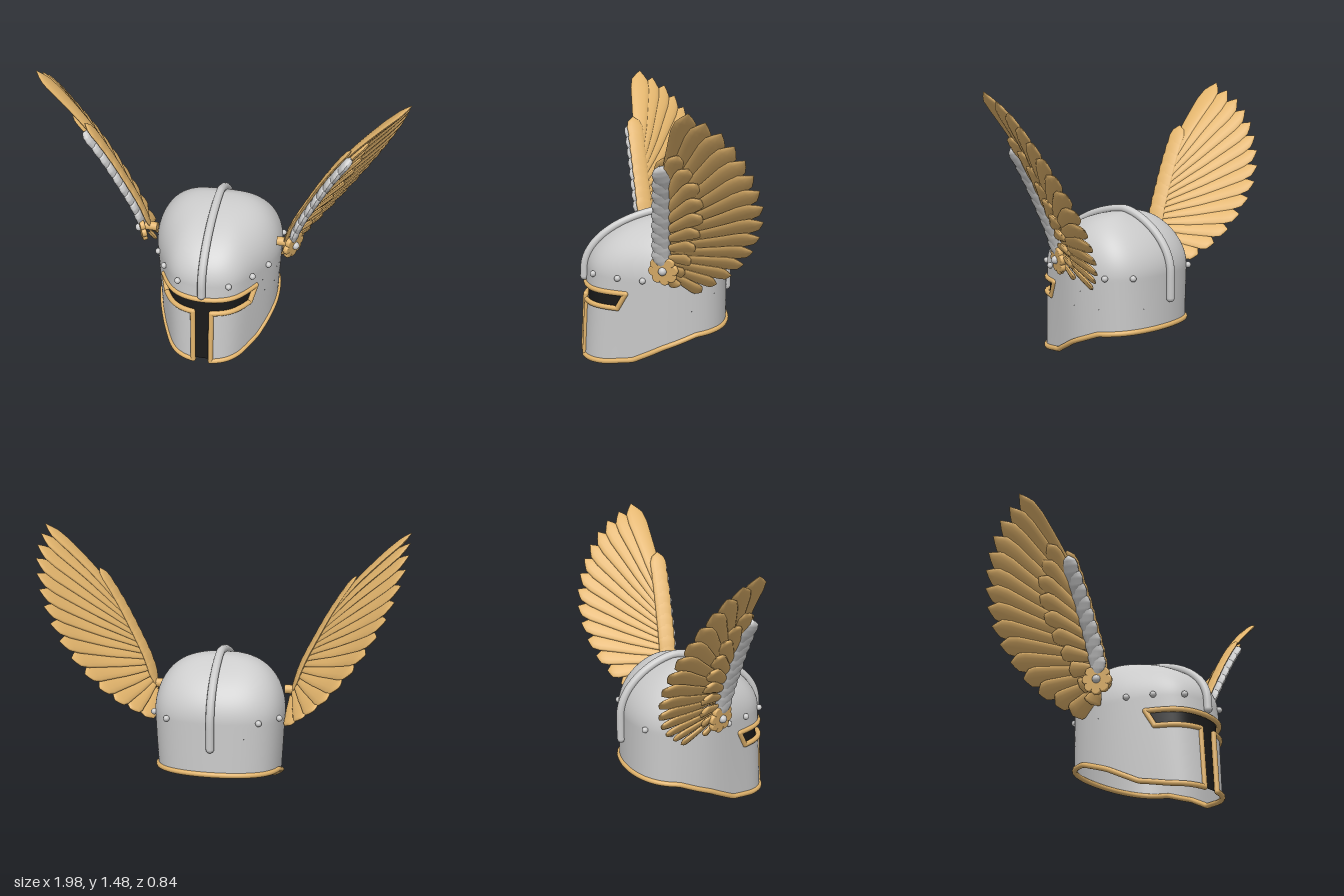
import * as THREE from 'three';

const steel = new THREE.MeshStandardMaterial({ color: 0xcccccc, side: THREE.DoubleSide });
const gold = new THREE.MeshStandardMaterial({ color: 0xe2b46c });
const black = new THREE.MeshStandardMaterial({ color: 0x1a1a1a, side: THREE.DoubleSide });
const V = (x, y, z) => new THREE.Vector3(x, y, z);
const lerp = THREE.MathUtils.lerp;

// Piecewise-linear lookup in [[x, y], ...] with rising x
function table(rows, x) {
  if (x <= rows[0][0]) return rows[0][1];
  for (let i = 1; i < rows.length; i++) {
    const [x0, y0] = rows[i - 1], [x1, y1] = rows[i];
    if (x <= x1) return lerp(y0, y1, (x - x0) / (x1 - x0));
  }
  return rows[rows.length - 1][1];
}

// Grid surface from fn(u, v); normals from normalFn(u, v) if given
function grid(fn, nu, nv, normalFn) {
  const pos = [], nor = [], idx = [];
  for (let j = 0; j <= nv; j++) for (let i = 0; i <= nu; i++) {
    pos.push(...fn(i / nu, j / nv).toArray());
    if (normalFn) nor.push(...normalFn(i / nu, j / nv).toArray());
    if (i < nu && j < nv) {
      const a = j * (nu + 1) + i, c = a + nu + 1;
      idx.push(a, a + 1, c, a + 1, c + 1, c);
    }
  }
  const g = new THREE.BufferGeometry();
  g.setAttribute('position', new THREE.Float32BufferAttribute(pos, 3));
  g.setIndex(idx);
  if (normalFn) g.setAttribute('normal', new THREE.Float32BufferAttribute(nor, 3));
  else g.computeVertexNormals();
  return g;
}

function add(parent, name, geometry, material, position) {
  const m = new THREE.Mesh(geometry, material);
  m.name = name;
  if (position) m.position.copy(position);
  parent.add(m);
  return m;
}

// Helmet skin: a = angle from the front, h = height up to 0.5, then dome angle up to 1
const ZC = -0.08;
function skin(a, h, grow = 0) {
  const phi = Math.max(0, h - 0.5) * Math.PI;
  const c = Math.cos(a), s = Math.sin(a), c2 = c * c;
  // the dome slopes more towards brow and nape than at the sides
  const k = Math.pow(Math.max(0, Math.cos(phi)), lerp(0.7, c > 0 ? 1.2 : 1.35, c2));
  const low = Math.min(h, 0.5);
  const y = low + (0.31 + grow) * Math.sin(phi);
  const w = 0.328 + 0.054 * low + grow;
  const depth = c > 0 ? 0.492 - 0.05 * low : 0.305;
  const fullness = c > 0 ? 1 - 0.45 * c2 + 0.6 * c2 * c2 : 1 + 0.28 * c2;
  return V(w * k * s * fullness, y, ZC + (depth + grow) * k * c);
}
function skinNormal(a, h) {
  h = Math.min(h, 0.99);
  const e = 0.004;
  const da = skin(a + e, h).sub(skin(a - e, h));
  return da.cross(skin(a, h + e).sub(skin(a, h - e))).normalize();
}
const rim = (a) => table([[-0.39, 0.222], [-0.17, 0.2], [0, 0.135], [0.16, 0.05], [0.3, 0.023], [0.42, 0.015]], skin(a, 0.15).z);

// Visor opening: nasal slot angle, eye slot corners
const NASAL = 0.13, EYE_LOW = 0.335, EYE_TOP = 0.42, A_LOW = 0.83, A_TOP = 0.94;

function patch(group, name, material, angle, height, nu, nv, grow = 0) {
  const at = (u, v) => { const a = angle(u, v); return [a, height(a, v)]; };
  add(group, name, grid((u, v) => skin(...at(u, v), grow), nu, nv, (u, v) => skinNormal(...at(u, v))), material);
}

function buildShell(group) {
  patch(group, 'dome', steel, (u) => lerp(-Math.PI, Math.PI, u), (a, v) => lerp(EYE_TOP, 1, v), 96, 36);
  for (const s of [1, -1]) {
    const span = (a0) => (u) => s * lerp(a0, Math.PI, s > 0 ? u : 1 - u);
    patch(group, 'temple', steel, (u, v) => span(lerp(A_LOW, A_TOP, v))(u), (a, v) => lerp(EYE_LOW, EYE_TOP, v), 40, 4);
    patch(group, 'cheekPlate', steel, span(NASAL), (a, v) => lerp(rim(a), EYE_LOW, v), 56, 14);
  }
  // dark lining behind the opening
  patch(group, 'eyeLining', black, (u) => lerp(-1.0, 1.0, u), (a, v) => lerp(0.31, 0.44, v), 40, 4, -0.016);
  patch(group, 'nasalLining', black, (u) => lerp(-0.2, 0.2, u), (a, v) => lerp(0.02, 0.33, v), 14, 8, -0.016);
}

// Tube over sampled points of fn(t)
function tube(group, name, fn, n, r, material) {
  const pts = Array.from({ length: n + 1 }, (_, i) => fn(i / n));
  add(group, name, new THREE.TubeGeometry(new THREE.CatmullRomCurve3(pts), n * 2, r, 10), material);
  for (const p of [pts[0], pts[n]]) add(group, name + 'End', new THREE.SphereGeometry(r, 10, 8), material, p);
}

function buildTrim(group) {
  const r = 0.0145;
  tube(group, 'rimTrim', (t) => {
    const a = lerp(NASAL, 2 * Math.PI - NASAL, t);
    return skin(a, rim(a));
  }, 72, r, gold);
  tube(group, 'browTrim', (t) => skin(lerp(-A_TOP, A_TOP, t), EYE_TOP), 28, r, gold);
  for (const s of [1, -1]) {
    tube(group, 'nasalTrim', (t) => skin(s * NASAL, lerp(rim(NASAL), EYE_LOW, t)), 6, r, gold);
    tube(group, 'eyeLowerTrim', (t) => skin(s * lerp(NASAL, A_LOW, t), EYE_LOW), 12, r, gold);
    tube(group, 'eyeEndTrim', (t) => skin(s * lerp(A_LOW, A_TOP, t), lerp(EYE_LOW, EYE_TOP, t)), 3, r, gold);
  }
}

// Crest runs over the dome from brow to nape
function buildCrest(group) {
  tube(group, 'crest', (t) => {
    const front = t < 0.5;
    const h = front ? lerp(0.455, 1, t * 2) : lerp(1, 0.37, t * 2 - 1);
    return skin(front ? 0 : Math.PI, h, 0.012);
  }, 40, 0.023, steel);
}

function buildRivets(group) {
  for (const s of [1, -1]) for (const z of [0.355, 0.235, 0.11, -0.22, -0.33]) {
    const a = Math.acos((z - ZC) / (z > ZC ? 0.467 : 0.305));
    add(group, 'rivet', new THREE.SphereGeometry(0.017, 14, 10), steel, skin(s * a, 0.505, 0.008));
  }
}

// Wing surface: x follows from (z, y), hollowed along the leading edge
const HOLLOW = new THREE.SplineCurve([[0.45, 0], [0.6, 0.025], [0.75, 0.065], [0.9, 0.085], [1.05, 0.097],
  [1.2, 0.092], [1.35, 0.055], [1.5, 0]].map(([y, d]) => new THREE.Vector2(y, d)));
function wingX(z, y) {
  const t = THREE.MathUtils.clamp((y - 0.45) / 1.05, 0, 1);
  const near = Math.exp(-(((z - 0.05) / 0.21) ** 2));
  return 0.405 + 0.65 * (y - 0.6) - 0.41 * (z - 0.02) - HOLLOW.getPoint(t).y * near;
}
function wingNormal(s, z, y) {
  const e = 0.03;
  return V(s, (wingX(z, y - e) - wingX(z, y + e)) / (2 * e), (wingX(z - e, y) - wingX(z + e, y)) / (2 * e)).normalize();
}
// Point on the wing: s = side, lift = distance outwards
const onWing = (s, z, y, lift) => V(s * wingX(z, y), y, z).addScaledVector(wingNormal(s, z, y), lift);

const PLUME = [[0, 0.3], [0.4, 0.75], [0.8, 1], [0.9, 0.88], [0.95, 0.5], [1, 0.02]];
const SCALE = [[0, 0.5], [0.35, 0.95], [0.65, 1], [0.85, 0.75], [1, 0.03]];

// One feather along the wing surface from root [z, y] to tip [z, y]:
// lens-shaped sections, tilted to overlap its neighbour
function feather(group, name, s, [z0, y0], [z1, y1], lift, halfWidth, thick, profile, material, tilt) {
  const dir = onWing(s, z1, y1, lift).sub(onWing(s, z0, y0, lift)).normalize();
  const n = wingNormal(s, (z0 + z1) / 2, (y0 + y1) / 2);
  n.addScaledVector(dir, -n.dot(dir)).normalize().applyAxisAngle(dir, tilt * s);
  const side = n.clone().cross(dir);
  add(group, name, grid((u, v) => {
    const a = u * Math.PI * 2, w = table(profile, v);
    return onWing(s, lerp(z0, z1, v), lerp(y0, y1, v), lift)
      .addScaledVector(side, halfWidth * w * Math.cos(a))
      .addScaledVector(n, thick * Math.sqrt(w) * Math.sin(a));
  }, 12, 20), material);
}

function buildWing(s) {
  const wing = new THREE.Group();
  wing.name = s > 0 ? 'leftWing' : 'rightWing';
  const row = (name, tips, count, rootTop, lift, halfWidth) => {
    const c = new THREE.CatmullRomCurve3(tips.map(([z, y]) => V(0, y, z)));
    for (let i = 0; i < count; i++) {
      const t = i / (count - 1), p = c.getPointAt(t);
      const root = [lerp(0.035, -0.01, t), lerp(rootTop, 0.57, t)];
      feather(wing, name, s, root, [p.z, p.y], lift, halfWidth, 0.014, PLUME, gold, 0.3);
    }
  };
  row('flightFeather', [[-0.02, 1.48], [-0.17, 1.39], [-0.3, 1.24], [-0.39, 1.06], [-0.42, 0.92],
    [-0.4, 0.75], [-0.33, 0.6], [-0.19, 0.46]], 15, 0.98, 0, 0.057);
  row('middleFeather', [[-0.01, 1.27], [-0.11, 1.13], [-0.15, 0.95], [-0.14, 0.8], [-0.12, 0.65], [-0.07, 0.5]], 10, 1.02, 0.022, 0.046);
  // grey scales along the leading edge, gold ones lining its inner face
  for (let i = 0; i < 9; i++) {
    const y = lerp(0.62, 1.09, i / 8), z = lerp(0.015, 0.045, i / 8);
    feather(wing, 'covert', s, [z - 0.02, y], [z + 0.02, y + 0.12], 0.03, 0.05, 0.024, SCALE, steel, 0.3);
    feather(wing, 'innerCovert', s, [z - 0.01, y - 0.02], [z + 0.01, y + 0.14], -0.004, 0.048, 0.012, SCALE, gold, 0.2);
  }

  // rosette and pin holding the wing
  const n = V(0.88 * s, -0.15, 0.45).normalize();
  const flower = new THREE.Shape();
  for (let i = 0; i < 96; i++) {
    const a = i / 96 * Math.PI * 2, r = 0.052 + 0.022 * Math.sqrt(Math.abs(Math.cos(4 * a)));
    flower[i ? 'lineTo' : 'moveTo'](r * Math.cos(a), r * Math.sin(a));
  }
  const centre = V(s * 0.425, 0.595, 0.015);
  add(wing, 'rosette', new THREE.ExtrudeGeometry(flower, {
    depth: 0.012, bevelThickness: 0.008, bevelSize: 0.007, bevelSegments: 3,
  }), gold, centre).quaternion.setFromUnitVectors(V(0, 0, 1), n);
  add(wing, 'rosetteStud', new THREE.SphereGeometry(0.022, 16, 12), steel, centre.clone().addScaledVector(n, 0.022));
  const pin = add(wing, 'wingPin', new THREE.CylinderGeometry(0.025, 0.025, 0.08, 16), gold, V(s * 0.38, 0.6, 0.01));
  pin.rotation.z = Math.PI / 2;
  return wing;
}

export function createModel() {
  const group = new THREE.Group();
  group.name = 'wingedHelmet';
  buildShell(group);
  buildTrim(group);
  buildCrest(group);
  buildRivets(group);
  group.add(buildWing(1), buildWing(-1));
  return group;
}
